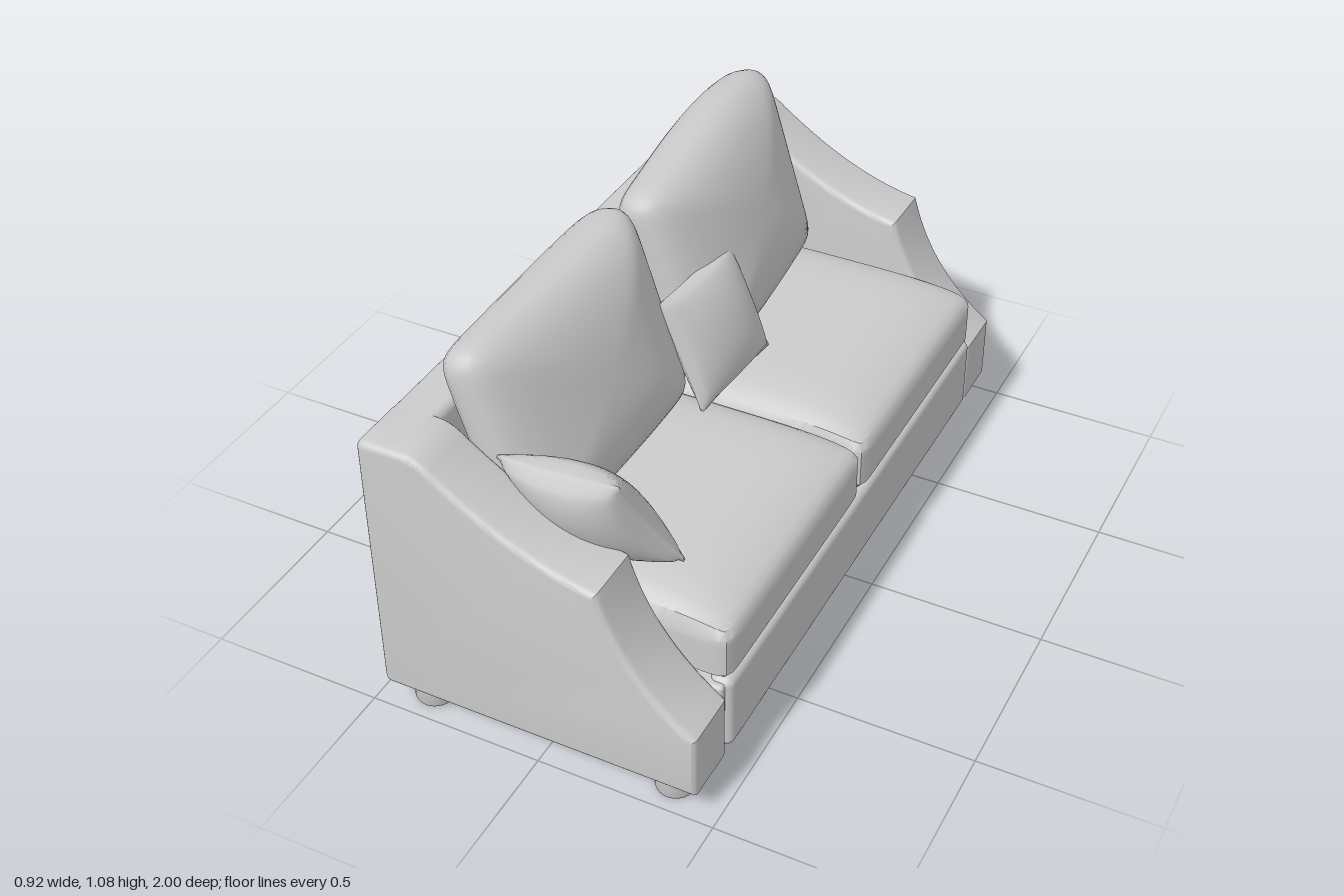
import * as THREE from 'three';
import { mergeVertices, toCreasedNormals } from 'three/addons/utils/BufferGeometryUtils.js';
import { RoundedBoxGeometry } from 'three/addons/geometries/RoundedBoxGeometry.js';

export function createModel() {
  const sofa = new THREE.Group();
  sofa.name = 'sofa';
  const mat = new THREE.MeshStandardMaterial({ color: 0xcccccc });
  const V = (x, y, z) => new THREE.Vector3(x, y, z);

  const add = (geo, name) => {
    const mesh = new THREE.Mesh(geo, mat);
    mesh.name = name;
    sofa.add(mesh);
  };

  // rounded box given by its minimum and maximum corners
  const block = ([x0, y0, z0], [x1, y1, z1], r) =>
    new RoundedBoxGeometry(x1 - x0, y1 - y0, z1 - z0, 4, r)
      .translate((x0 + x1) / 2, (y0 + y1) / 2, (z0 + z1) / 2);

  // welded, subdivided cube whose vertices are moved by a rule that edits p
  const softCube = (n, m, rule) => {
    let geo = new THREE.BoxGeometry(2, 2, 2, n, n, m);
    geo.deleteAttribute('normal');
    geo.deleteAttribute('uv');
    geo = mergeVertices(geo);
    const pos = geo.attributes.position, p = V(0, 0, 0);
    for (let i = 0; i < pos.count; i++) {
      p.fromBufferAttribute(pos, i);
      rule(p);
      pos.setXYZ(i, p.x, p.y, p.z);
    }
    return geo;
  };

  // outline roundness a, edge roundness b
  const superRound = (p, a, b) => {
    const o = Math.pow(Math.abs(p.x) ** a + Math.abs(p.y) ** a, b / a);
    p.divideScalar(Math.pow(o + Math.abs(p.z) ** b, 1 / b));
  };

  // places a unit cushion by its half-width, half-height and half-thickness
  const place = (geo, centre, u, v, thick) => {
    const w = u.clone().cross(v).normalize().multiplyScalar(thick);
    geo.applyMatrix4(new THREE.Matrix4().makeBasis(u, v, w).setPosition(centre));
    geo.computeVertexNormals();
    return geo;
  };

  // sloping arms
  const side = new THREE.Shape();
  side.moveTo(-0.435, 0.08);
  side.lineTo(0.45, 0.08);
  side.lineTo(0.45, 0.27);
  side.bezierCurveTo(0.34, 0.35, 0.24, 0.46, 0.19, 0.643);
  side.bezierCurveTo(0.02, 0.67, -0.12, 0.75, -0.25, 0.845);
  side.quadraticCurveTo(-0.29, 0.88, -0.33, 0.88);
  side.lineTo(-0.435, 0.88);
  side.quadraticCurveTo(-0.46, 0.88, -0.46, 0.855);
  side.lineTo(-0.46, 0.105);
  side.quadraticCurveTo(-0.46, 0.08, -0.435, 0.08);
  for (const [name, z] of [['leftArm', 0.82], ['rightArm', -1]]) {
    const geo = new THREE.ExtrudeGeometry(side, {
      depth: 0.14, bevelSize: 0.02, bevelThickness: 0.02, bevelOffset: -0.02,
      bevelSegments: 5, curveSegments: 16,
    }).translate(0, 0, z + 0.02);
    add(toCreasedNormals(geo, 0.45), name);
  }

  // back, seat base and front rail
  add(block([-0.46, 0.08, -0.997], [-0.33, 0.88, 0.997], 0.025), 'back');
  add(block([-0.34, 0.085, -0.83], [0.44, 0.3, 0.83], 0.01), 'seatBase');
  add(block([0.39, 0.08, -0.815], [0.458, 0.313, 0.815], 0.025), 'frontRail');

  // feet
  const footProfile = [[0, 0], [0.045, 0], [0.052, 0.004], [0.055, 0.012], [0.055, 0.09]]
    .map(([r, y]) => new THREE.Vector2(r, y));
  for (const x of [-0.362, 0.353]) for (const z of [-0.912, 0.912])
    add(toCreasedNormals(new THREE.LatheGeometry(footProfile, 28), 0.7).translate(x, 0, z), 'foot');

  // seat cushions: crowned boxes with a crisp top seam
  for (const s of [1, -1]) {
    const geo = softCube(28, 8, p => {
      superRound(p, 26, 18);
      const crown = Math.max(0, 1 - p.x ** 4) * Math.sqrt(Math.max(0, 1 - p.y ** 6));
      if (p.z > 0) p.z *= 1 + 0.8 * crown;
    });
    place(geo, V(0.06, 0.386, s * 0.411), V(0.393, 0, 0), V(0, 0, -0.41), 0.076);
    add(toCreasedNormals(geo, 0.6), s > 0 ? 'leftSeatCushion' : 'rightSeatCushion');
  }

  // leaning back cushions: the left one is fuller on its inner half,
  // the right one is turned slightly and spreads toward its outer top corner
  const leftBack = softCube(28, 14, p => {
    superRound(p, 13, 2.5);
    p.z *= 0.98 + 0.1 * Math.cos(2.2 * (p.x - 0.4));
  });
  place(leftBack, V(-0.197, 0.783, 0.425), V(0, 0, -0.4), V(-0.092, 0.281, 0), 0.138);
  add(leftBack, 'leftBackCushion');

  const rightBack = softCube(28, 14, p => {
    superRound(p, 13, 2.5);
    if (p.x > 0) p.x *= 1 + 0.05 * p.y;
    if (p.y > 0) p.y *= 1 + 0.04 * Math.sin(2.4 * p.x + 0.9) - 0.06 * Math.max(0, p.x) ** 4;
    p.z *= 0.98 + 0.08 * Math.cos(2.2 * p.x);
  });
  place(rightBack, V(-0.19, 0.783, -0.42), V(-0.03, 0, -0.415), V(-0.092, 0.281, 0.006), 0.138);
  add(rightBack, 'rightBackCushion');

  // throw pillows: thin edges and pointed corners
  const pillow = (name, centre, u, v, thick, pinch) => {
    const geo = softCube(24, 2, p => {
      const { x, y } = p;
      p.z *= 0.05 + 0.95 * Math.sqrt(Math.max(0, (1 - x * x) * (1 - y * y)));
      p.x = x * (1 - pinch * (1 - y * y));
      p.y = y * (1 - pinch * (1 - x * x));
    });
    add(place(geo, centre, u, v, thick), name);
  };
  pillow('armPillow', V(0.055, 0.69, 0.77), V(0.18, 0.035, 0.025), V(-0.045, 0.157, 0.08), 0.09, 0.06);
  pillow('middlePillow', V(-0.03, 0.678, -0.07), V(0.016, 0.007, -0.174), V(-0.063, 0.16, 0.004), 0.06, 0.03);

  return sofa;
}
